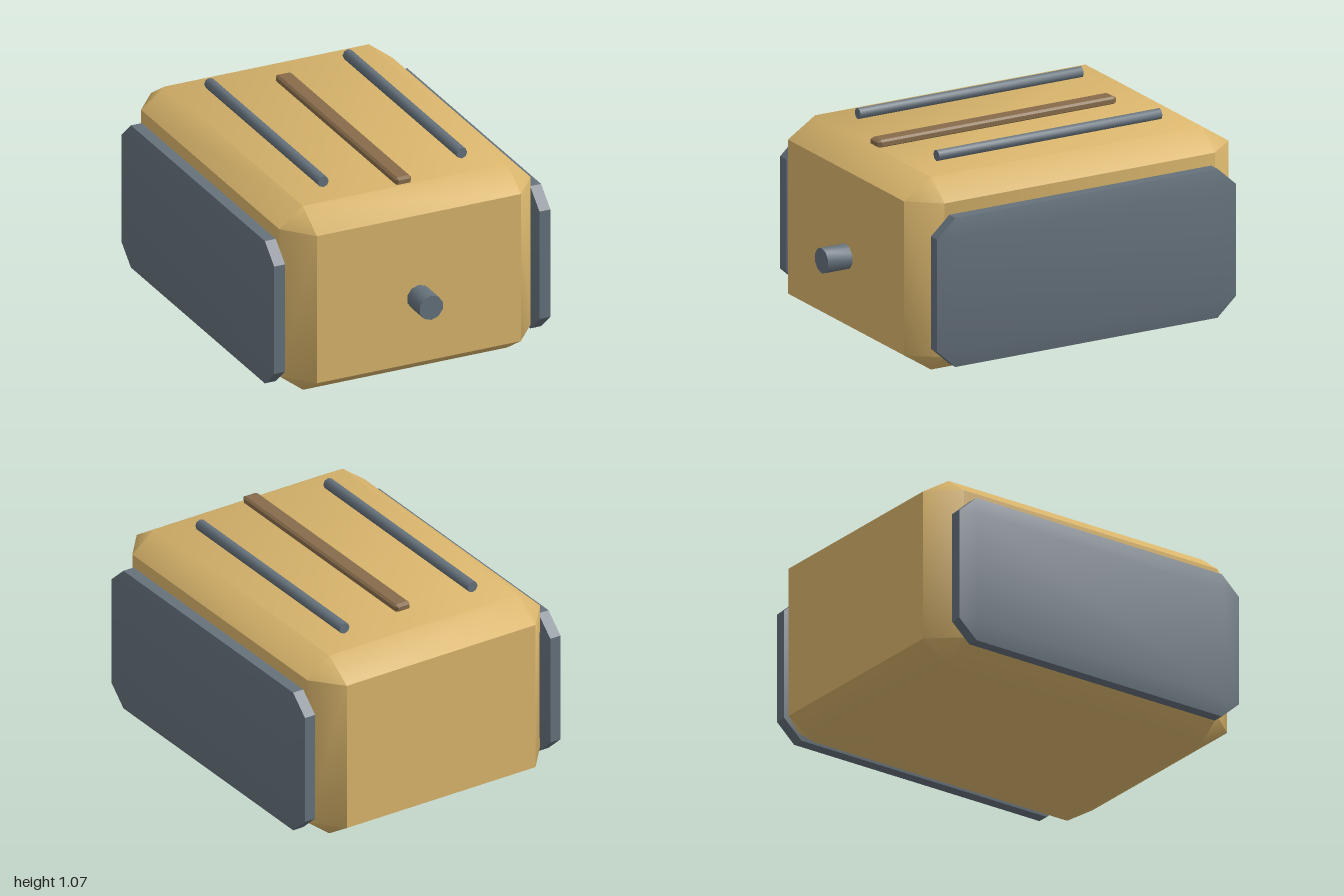
import * as THREE from 'three';
import { toCreasedNormals } from 'three/addons/utils/BufferGeometryUtils.js';
import { ConvexGeometry } from 'three/addons/geometries/ConvexGeometry.js';

const mat = (name, color) => {
  const m = new THREE.MeshStandardMaterial({ color });
  m.name = name;
  return m;
};

// Box with every edge and corner cut; min/max corners and cut depth per axis
function chamferBox(min, max, cut, crease) {
  const points = [];
  for (const sx of [0, 1]) for (const sy of [0, 1]) for (const sz of [0, 1]) {
    const s = [sx, sy, sz];
    for (let face = 0; face < 3; face++) {
      const p = s.map((side, i) => {
        const inset = i === face ? 0 : cut[i];
        return side ? max[i] - inset : min[i] + inset;
      });
      points.push(new THREE.Vector3(...p));
    }
  }
  return toCreasedNormals(new ConvexGeometry(points), crease);
}

// Cylinder lying along z between two z values
function rod(radius, z0, z1, sides) {
  const g = new THREE.CylinderGeometry(radius, radius, z1 - z0, sides);
  g.rotateX(Math.PI / 2);
  g.translate(0, 0, (z0 + z1) / 2);
  return toCreasedNormals(g, 0.9);
}

export function createModel() {
  const model = new THREE.Group();
  model.name = 'model';
  const tan = mat('tan shell', 0xd9b56c);
  const grey = mat('slate grey', 0x65717b);
  const brown = mat('brown', 0x876c4b);

  const add = (name, geometry, material, x = 0, y = 0) => {
    const mesh = new THREE.Mesh(geometry, material);
    mesh.name = name;
    mesh.position.set(x, y, 0);
    model.add(mesh);
  };

  // Main shell
  add('body', chamferBox([-0.69, 0, -1], [0.69, 1, 0.86], [0.13, 0.1, 0.155], 0.8), tan);

  // Spine strip along the top
  add('topRidge', chamferBox([-0.044, 0.995, -0.67], [0.044, 1.037, 0.7], [0.012, 0.01, 0.02], 0.3), brown);

  // Front stub
  add('frontNozzle', rod(0.066, 0.8, 1, 10), grey, 0, 0.455);

  // Mirrored side pads and top rails
  for (const side of [-1, 1]) {
    const label = side > 0 ? 'left' : 'right';
    add(label + 'SidePad',
      chamferBox([-0.05, 0.066, -0.925], [0.05, 0.84, 0.787], [0.02, 0.095, 0.105], 0.3), grey, side * 0.728);
    add(label + 'TopRail', rod(0.029, -0.712, 0.567, 8), grey, side * 0.38, 1.037);
  }
  return model;
}
